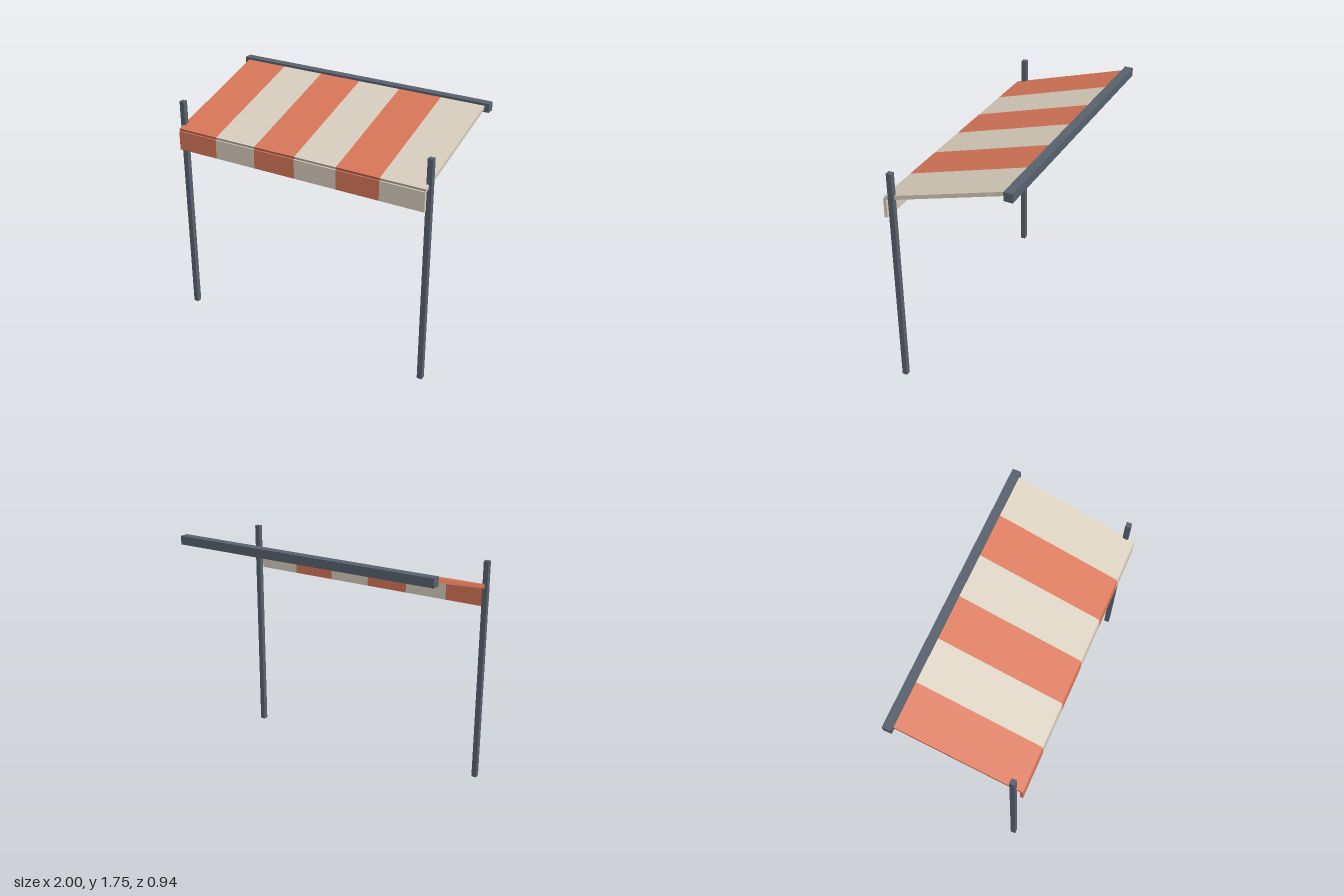
import * as THREE from 'three';

const material = (name, color) => {
  const m = new THREE.MeshStandardMaterial({ color });
  m.name = name;
  return m;
};

export function createModel() {
  const red = material('terracotta fabric', 0xd9775a);
  const cream = material('cream fabric', 0xd9cfbf);
  const steel = material('slate metal', 0x59636e);
  const awning = new THREE.Group();
  awning.name = 'awning';

  const box = (name, size, position, mat, parent = awning) => {
    const mesh = new THREE.Mesh(new THREE.BoxGeometry(...size), mat);
    mesh.name = name;
    mesh.position.set(...position);
    parent.add(mesh);
    return mesh;
  };

  // Wall rail and the two front posts
  box('wallRail', [2, 0.062, 0.062], [0, 1.714, -0.438], steel);
  for (const [name, side] of [['leftPost', 1], ['rightPost', -1]]) {
    box(name, [0.037, 1.65, 0.037], [side * 0.968, 0.825, 0.402], steel);
  }

  // Sloping canopy and hanging valance, in alternating stripes
  const canopy = new THREE.Group();
  canopy.name = 'canopy';
  const valance = new THREE.Group();
  valance.name = 'valance';
  awning.add(canopy, valance);

  const stripes = 6, width = 1.934 / stripes;
  const front = { z: 0.46, y: 1.448 }, back = { z: -0.43, y: 1.721 };
  const run = front.z - back.z, rise = back.y - front.y;
  canopy.position.set(0, (front.y + back.y) / 2, (front.z + back.z) / 2);
  canopy.rotation.x = Math.atan2(rise, run);
  for (let i = 0; i < stripes; i++) {
    const x = (i - (stripes - 1) / 2) * width;
    const mat = i % 2 ? cream : red;
    box('canopyStripe', [width, 0.028, Math.hypot(run, rise)], [x, 0, 0], mat, canopy);
    box('valanceStripe', [width, 0.14, 0.022], [x, 1.374, 0.459], mat, valance);
  }
  return awning;
}
